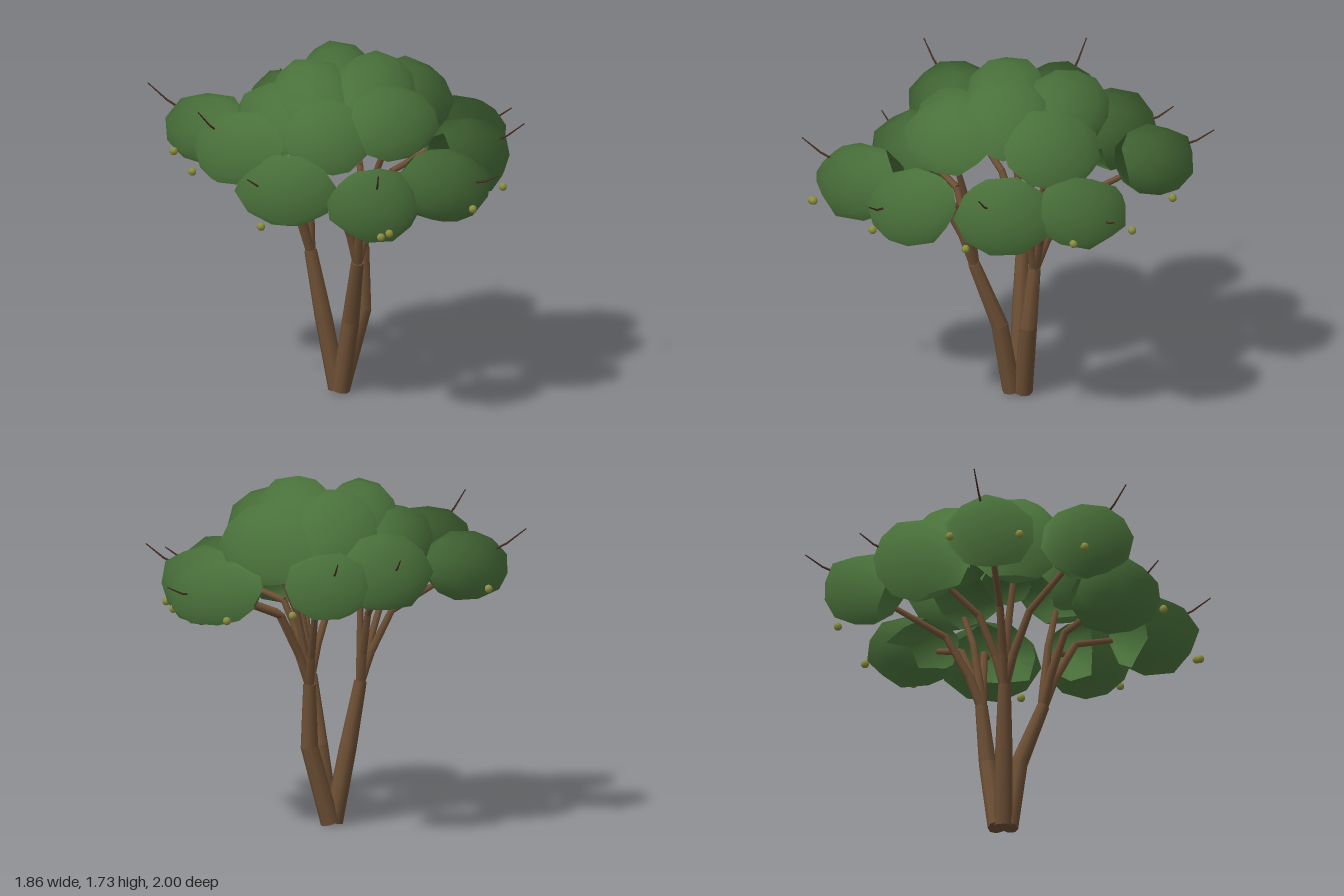
import * as THREE from 'three';
import { mergeVertices } from 'three/addons/utils/BufferGeometryUtils.js';

const V = (x, y, z) => new THREE.Vector3(x, y, z);
const material = (name, color) => {
  const m = new THREE.MeshStandardMaterial({ color });
  m.name = name;
  return m;
};

// Small seeded random generator
let seed = 11;
const random = () => {
  seed = (seed * 16807) % 2147483647;
  return seed / 2147483647;
};

export function createModel() {
  const tree = new THREE.Group();
  tree.name = 'tree';
  const bark = material('bark brown', 0x6f5136);
  const leaf = material('leaf green', 0x49703a);
  const twigBrown = material('dark twig brown', 0x4a3024);
  const fruitGreen = material('olive fruit', 0x8c9040);

  const add = (parent, name, geometry, mat) => {
    const mesh = new THREE.Mesh(geometry, mat);
    mesh.name = name;
    parent.add(mesh);
    return mesh;
  };

  // Tapered limb made of one cylinder per stretch between points
  const limb = (parent, name, points, radii, sides, mat) => {
    for (let i = 0; i < points.length - 1; i++) {
      const dir = points[i + 1].clone().sub(points[i]);
      const length = dir.length();
      const overlap = radii[i] * 0.25;
      const geo = new THREE.CylinderGeometry(radii[i + 1], radii[i], length + overlap, sides);
      const mesh = add(parent, name, geo, mat);
      mesh.position.copy(points[i]).addScaledVector(dir, 0.5);
      mesh.quaternion.setFromUnitVectors(V(0, 1, 0), dir.normalize());
    }
  };

  // Foliage clumps: centre x, y, z, then half sizes x, y, z
  const outer = {
    back: [0.05, 1.27, -0.71, 0.21, 0.17, 0.2],
    backLeft: [0.59, 1.2, -0.43, 0.23, 0.16, 0.23],
    left: [0.65, 1.18, -0.06, 0.21, 0.19, 0.24],
    frontLeft: [0.56, 1.16, 0.41, 0.23, 0.18, 0.22],
    front: [0.23, 1.14, 0.71, 0.22, 0.18, 0.22],
    frontRight: [-0.21, 1.15, 0.51, 0.24, 0.18, 0.22],
    rightFront: [-0.45, 1.32, 0.36, 0.22, 0.18, 0.22],
    right: [-0.63, 1.28, -0.13, 0.21, 0.17, 0.22],
    backRight: [-0.24, 1.3, -0.45, 0.22, 0.19, 0.24],
  };
  const inner = [
    [0.33, 1.41, -0.25, 0.23, 0.2, 0.24],
    [-0.01, 1.49, -0.27, 0.2, 0.19, 0.2],
    [0.2, 1.51, 0, 0.2, 0.2, 0.2],
    [-0.12, 1.49, 0.04, 0.19, 0.2, 0.2],
    [0.3, 1.43, 0.27, 0.22, 0.18, 0.21],
    [-0.02, 1.36, 0.29, 0.21, 0.19, 0.2],
    [-0.27, 1.38, 0.02, 0.21, 0.19, 0.22],
  ];

  const canopy = new THREE.Group();
  canopy.name = 'canopy';
  tree.add(canopy);
  const canopyCentre = V(0, 1.1, 0);
  const clump = ([x, y, z, a, b, c]) => {
    let geo = new THREE.IcosahedronGeometry(1, 1);
    geo.deleteAttribute('normal');
    geo.deleteAttribute('uv');
    geo = mergeVertices(geo);
    geo.rotateY(random() * 6.28).rotateX(random() * 6.28);
    const pos = geo.attributes.position;
    const normals = [];
    const p = V(0, 0, 0);
    for (let i = 0; i < pos.count; i++) {
      p.fromBufferAttribute(pos, i).multiplyScalar(0.95 + random() * 0.13);
      const own = p.clone().normalize();
      p.set(x + p.x * a, y + p.y * b, z + p.z * c);
      pos.setXYZ(i, p.x, p.y, p.z);
      // Soft normals fan out from the middle of the canopy
      const fan = p.clone().sub(canopyCentre).normalize();
      own.multiplyScalar(0.3).addScaledVector(fan, 0.7).normalize();
      normals.push(own.x, own.y, own.z);
    }
    geo.setAttribute('normal', new THREE.Float32BufferAttribute(normals, 3));
    add(canopy, 'foliageClump', geo, leaf);
  };
  Object.values(outer).forEach(clump);
  inner.forEach(clump);

  // Three stems, each forking into branches that reach the clumps
  const stems = [
    { points: [V(0.03, 0, 0), V(0.08, 0.36, 0.05), V(0.12, 0.69, 0.17)],
      ends: [outer.frontLeft, outer.front, outer.frontRight, inner[4]] },
    { points: [V(0.01, 0, -0.03), V(-0.06, 0.37, -0.03), V(-0.12, 0.69, -0.03)],
      ends: [outer.rightFront, outer.right, outer.backRight, inner[3]] },
    { points: [V(0.03, 0, -0.06), V(0.13, 0.38, -0.1), V(0.13, 0.69, -0.13)],
      ends: [outer.back, outer.backLeft, outer.left, inner[0]] },
  ];
  for (const { points, ends } of stems) {
    limb(tree, 'stem', points, [0.046, 0.043, 0.031], 8, bark);
    const fork = points[2];
    for (const [x, y, z] of ends) {
      const end = V(x, y, z);
      const low = fork.clone().lerp(end, 0.1).setY(0.84);
      const high = fork.clone().lerp(end, 0.3).setY(1.05);
      limb(tree, 'branch', [fork, low, high, end], [0.026, 0.022, 0.018, 0.012], 6, bark);
    }
  }

  // Bare twigs poking out of the outer clumps: base, then tip
  const twigs = [
    [-0.74, 1.35, -0.17, -0.93, 1.48, -0.22],
    [-0.53, 1.41, 0.43, -0.64, 1.55, 0.54],
    [-0.29, 1.19, 0.61, -0.39, 1.26, 0.71],
    [0.25, 1.24, 0.82, 0.27, 1.37, 1.0],
    [0.71, 1.21, 0.52, 0.83, 1.26, 0.58],
    [0.76, 1.26, -0.01, 0.93, 1.37, 0.02],
    [0.69, 1.21, -0.56, 0.83, 1.26, -0.64],
    [0.02, 1.34, -0.83, 0, 1.43, -1.0],
    [-0.28, 1.33, -0.61, -0.31, 1.41, -0.75],
  ];
  for (const [x, y, z, tx, ty, tz] of twigs) {
    const base = V(x, y, z), tip = V(tx, ty, tz);
    const bend = base.clone().lerp(tip, 0.5);
    bend.y -= 0.012;
    limb(tree, 'twig', [base, bend, tip], [0.007, 0.005, 0.003], 5, twigBrown);
  }

  // Small round fruits hanging at the rim
  const fruits = [
    [0.22, 1.15, -0.83], [0.54, 1.1, -0.68], [0.8, 1.12, -0.43], [0.83, 1.07, 0.1],
    [0.71, 1.09, 0.58], [0.28, 1.045, 0.95], [0.32, 1.06, 0.935], [-0.32, 1.03, 0.74],
    [-0.68, 1.19, 0.335], [-0.79, 1.2, 0.01], [-0.745, 1.2, -0.33],
  ];
  const fruitGeometry = new THREE.SphereGeometry(0.021, 7, 5);
  for (const [x, y, z] of fruits) {
    add(tree, 'fruit', fruitGeometry, fruitGreen).position.set(x, y, z);
  }
  return tree;
}
